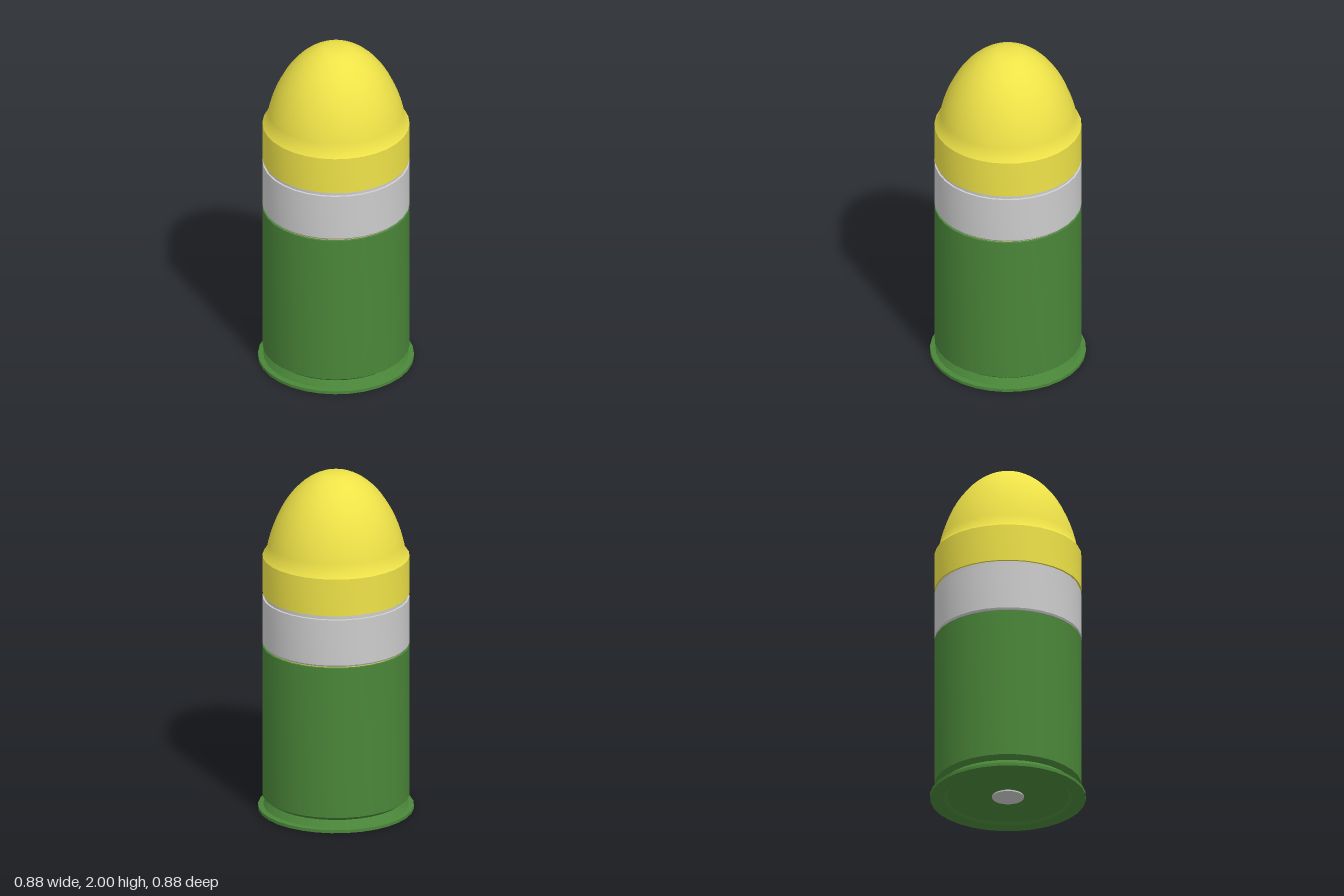
import * as THREE from 'three';
import { toCreasedNormals } from 'three/addons/utils/BufferGeometryUtils.js';

const SIDES = 32;

// Revolve a bottom-to-top [radius, y] profile, keeping sharp steps crisp
function turned(name, profile, material) {
  const points = profile.map(([r, y]) => new THREE.Vector2(r, y));
  const geometry = toCreasedNormals(new THREE.LatheGeometry(points, SIDES), 0.5);
  const mesh = new THREE.Mesh(geometry, material);
  mesh.name = name;
  return mesh;
}

export function createModel() {
  const group = new THREE.Group();
  group.name = 'roundedCartridge';
  const green = new THREE.MeshStandardMaterial({ color: 0x4a8639 });
  const yellow = new THREE.MeshStandardMaterial({ color: 0xeee248 });
  const grey = new THREE.MeshStandardMaterial({ color: 0xcccccc });

  // Case with shallow base recess, flat rim, extractor groove and straight wall
  group.add(turned('case', [
    [0, 0.012], [0.345, 0.012], [0.36, 0], [0.44, 0], [0.44, 0.018],
    [0.41, 0.022], [0.385, 0.06], [0.415, 0.082], [0.415, 0.978], [0.4, 0.978],
  ], green));

  // Primer disc in the base
  group.add(turned('primer', [[0, 0.004], [0.09, 0.004], [0.09, 0.012]], grey));

  // Narrow inner core showing in the gap above the case
  group.add(turned('core', [[0.401, 0.96], [0.401, 1]], yellow));

  // Collar band with stepped lower and upper edges
  group.add(turned('collar', [
    [0.4, 0.983], [0.409, 0.985], [0.415, 0.995], [0.415, 1.266],
    [0.405, 1.268], [0.405, 1.29],
  ], grey));

  // Nose: straight skirt, then an elliptical dome ending in a small flat tip
  const nose = [[0.4, 1.288], [0.415, 1.29], [0.415, 1.51]];
  const steps = 14;
  const tipAngle = Math.asin(0.65 / 0.66);
  const startAngle = Math.asin(0.19 / 0.66);
  for (let i = 0; i <= steps; i++) {
    const a = THREE.MathUtils.lerp(startAngle, tipAngle, i / steps);
    nose.push([0.41 * Math.cos(a), 1.35 + 0.66 * Math.sin(a)]);
  }
  nose.push([0, 2]);
  group.add(turned('nose', nose, yellow));

  return group;
}
